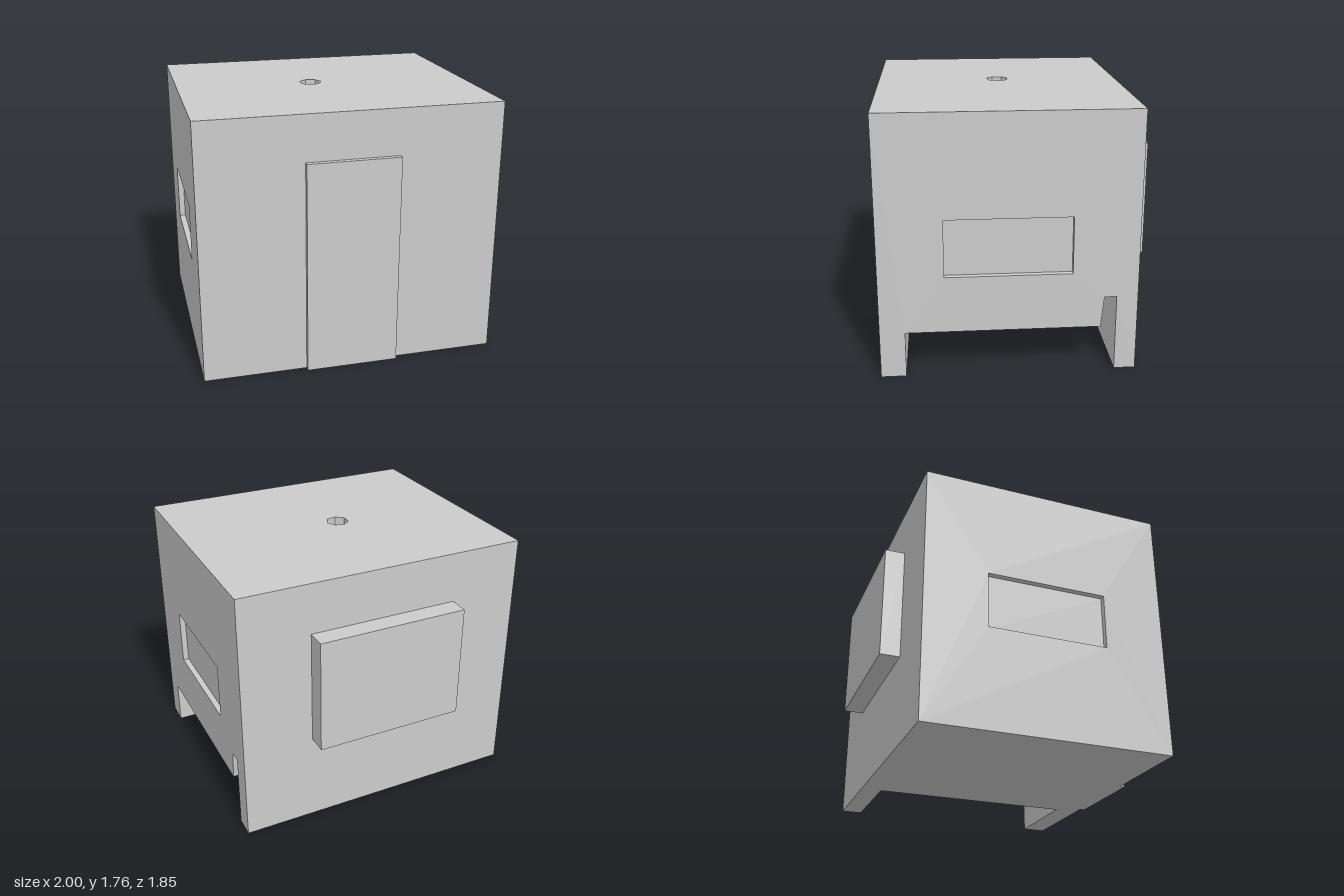
import * as THREE from 'three';

const material = new THREE.MeshStandardMaterial({ color: 0xcccccc, flatShading: true });
const FRONT = 0.89, BACK = -0.79, TOP = 1.76, HALF = 1;

const toPoints = (list) => list.map(([x, y]) => new THREE.Vector2(x, y));
const rect = (x0, y0, x1, y1) => [[x0, y0], [x1, y0], [x1, y1], [x0, y1]];

function add(parent, geometry, name) {
  const mesh = new THREE.Mesh(geometry, material);
  mesh.name = name;
  parent.add(mesh);
  return mesh;
}

// Flat panel facing local +z, with an optional opening
function panel(parent, name, outline, hole) {
  const shape = new THREE.Shape(toPoints(outline));
  if (hole) shape.holes.push(new THREE.Path(toPoints(hole)));
  return add(parent, new THREE.ShapeGeometry(shape), name);
}

// Inward-facing walls and floor of a recess, outline counter-clockwise
function recess(parent, name, outline, depth, closed = true) {
  const pos = [];
  const edges = closed ? outline.length : outline.length - 1;
  for (let i = 0; i < edges; i++) {
    const [px, py] = outline[i];
    const [qx, qy] = outline[(i + 1) % outline.length];
    pos.push(px, py, 0, qx, qy, 0, qx, qy, -depth);
    pos.push(px, py, 0, qx, qy, -depth, px, py, -depth);
  }
  const geometry = new THREE.BufferGeometry();
  geometry.setAttribute('position', new THREE.Float32BufferAttribute(pos, 3));
  geometry.computeVertexNormals();
  add(parent, geometry, name + 'Walls');
  panel(parent, name + 'Floor', outline).position.z = -depth;
}

function box(parent, name, x0, x1, y0, y1, z0, z1) {
  const mesh = add(parent, new THREE.BoxGeometry(x1 - x0, y1 - y0, z1 - z0), name);
  mesh.position.set((x0 + x1) / 2, (y0 + y1) / 2, (z0 + z1) / 2);
}

function side(parent, name, position, rx, ry) {
  const group = new THREE.Group();
  group.name = name;
  group.position.set(...position);
  group.rotation.set(rx, ry, 0);
  parent.add(group);
  return group;
}

export function createModel() {
  const model = new THREE.Group();
  model.name = 'cabin';

  // Plain front and back walls
  panel(side(model, 'frontWall', [0, 0, FRONT], 0, 0), 'frontFace', rect(-HALF, 0, HALF, TOP));
  panel(side(model, 'backWall', [0, 0, BACK], 0, Math.PI), 'backFace', rect(-HALF, 0, HALF, TOP));

  // Side wall with window and the stepped opening at its foot
  const notchDepth = 0.62;
  const notch = [[0.65, 0], [0.65, 0.52], [0.57, 0.52], [0.55, 0.31], [-0.725, 0.31], [-0.725, 0]];
  const leftWindow = rect(-0.465, 0.69, 0.36, 1.075);
  const left = side(model, 'leftWall', [HALF, 0, 0], 0, Math.PI / 2);
  panel(left, 'leftFace',
    [[-FRONT, 0], ...[...notch].reverse(), [-BACK, 0], [-BACK, TOP], [-FRONT, TOP]], leftWindow);
  recess(left, 'leftWindow', leftWindow, 0.04);
  recess(left, 'footOpening', notch, notchDepth, false);

  // Opposite side wall with the matching window
  const rightWindow = rect(-0.36, 0.69, 0.465, 1.075);
  const right = side(model, 'rightWall', [-HALF, 0, 0], 0, -Math.PI / 2);
  panel(right, 'rightFace', rect(BACK, 0, FRONT, TOP), rightWindow);
  recess(right, 'rightWindow', rightWindow, 0.04);

  // Roof with a seven-sided hole
  const hole = Array.from({ length: 7 }, (_, i) => {
    const a = (i / 7) * Math.PI * 2;
    return [-0.077 + 0.077 * Math.cos(a), -0.05 + 0.077 * Math.sin(a)];
  });
  const roof = side(model, 'roof', [0, TOP, 0], -Math.PI / 2, 0);
  panel(roof, 'roofFace', rect(-HALF, -FRONT, HALF, -BACK), hole);
  recess(roof, 'roofHole', hole, 0.1);

  // Underside, cut away around the foot opening
  const inner = HALF - notchDepth;
  panel(side(model, 'underside', [0, 0, 0], Math.PI / 2, 0), 'undersideFace', [
    [-HALF, BACK], [HALF, BACK], [HALF, -0.65], [inner, -0.65],
    [inner, 0.725], [HALF, 0.725], [HALF, FRONT], [-HALF, FRONT],
  ]);

  // Door slab and rear box
  box(model, 'door', -0.31, 0.31, 0, 1.45, FRONT, 0.925);
  box(model, 'rearBox', -0.517, 0.517, 0.625, 1.415, -0.925, BACK);

  return model;
}
